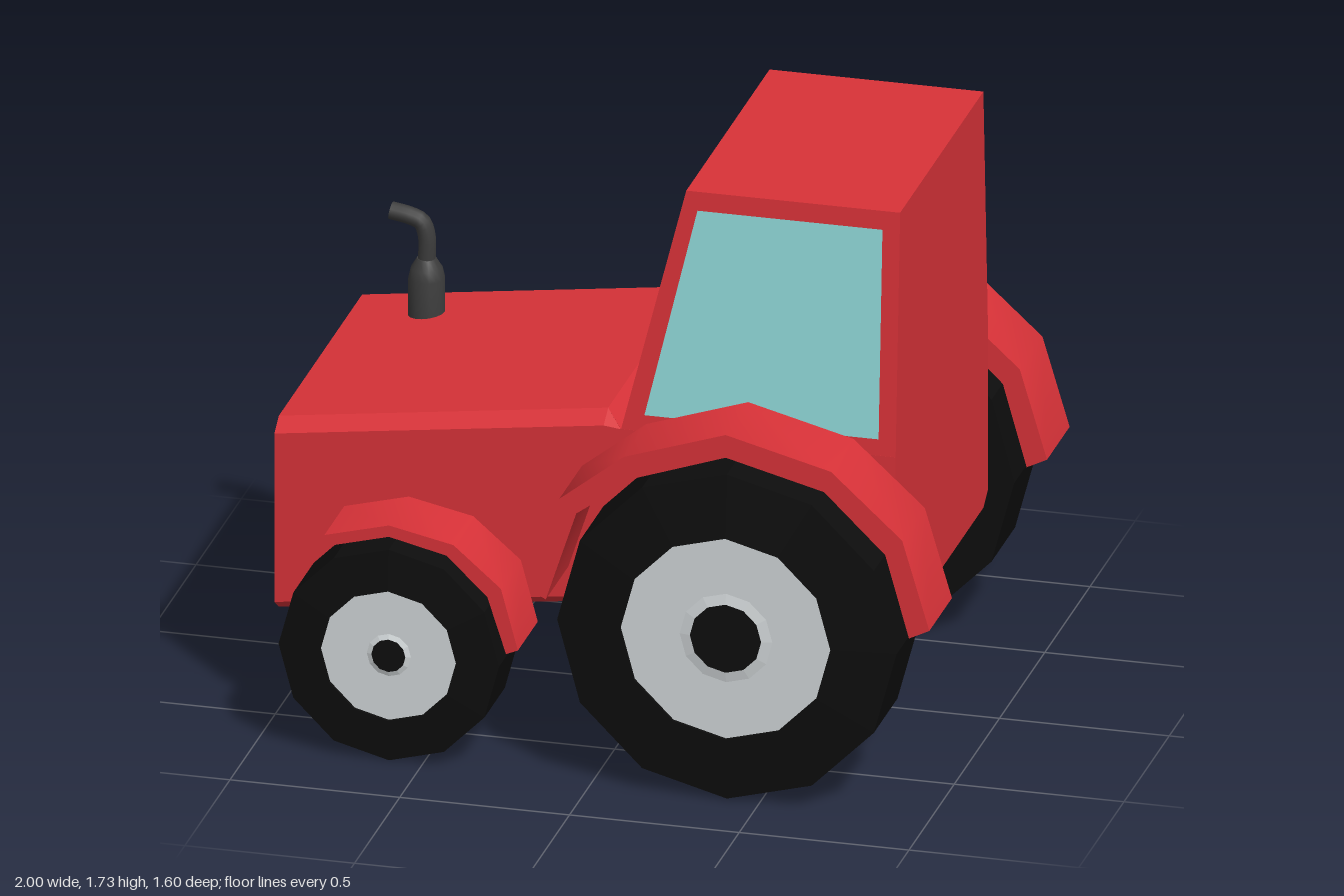
import * as THREE from 'three';
import { toCreasedNormals } from 'three/addons/utils/BufferGeometryUtils.js';

const paint = (color, extra = {}) => Object.assign(new THREE.MeshStandardMaterial({ color }), extra);
const red = paint(0xd83238);
const redFlat = paint(0xd83238, { flatShading: true });
const black = paint(0x0d0d0d, { flatShading: true });
const rimGrey = paint(0xcfd4d6, { flatShading: true });
const lampGrey = paint(0xb4b4b4);
const pipeGrey = paint(0x3c3c3c);
const glass = paint(0x8fd8d8, { side: THREE.DoubleSide });

function add(parent, name, geometry, material) {
  const mesh = new THREE.Mesh(geometry, material);
  mesh.name = name;
  parent.add(mesh);
  return mesh;
}

// Joins rings of [x, y, z] corners into a closed, flat-faced solid
function loft(rings) {
  const n = rings[0].length;
  const index = [];
  for (let r = 0; r < rings.length - 1; r++) {
    for (let i = 0; i < n; i++) {
      const a = r * n + i, b = r * n + (i + 1) % n;
      index.push(a, b, b + n, a, b + n, a + n);
    }
  }
  const last = (rings.length - 1) * n;
  for (let i = 1; i < n - 1; i++) {
    index.push(0, i + 1, i, last, last + i, last + i + 1);
  }
  const g = new THREE.BufferGeometry();
  g.setAttribute('position', new THREE.Float32BufferAttribute(rings.flat(2), 3));
  g.setIndex(index);
  const flat = g.toNonIndexed();
  flat.computeVertexNormals();
  return flat;
}

function quad(corners) {
  const g = new THREE.BufferGeometry();
  g.setAttribute('position', new THREE.Float32BufferAttribute(corners.flat(), 3));
  g.setIndex([0, 1, 2, 0, 2, 3]);
  g.computeVertexNormals();
  return g;
}

// Bevelled cross-section of the lower body
function section(x, top, bottom, topHalf = 0.46, bevel = 0.035, inset = 0) {
  const w = 0.51 - inset, t = topHalf - inset, u = 0.46 - inset;
  const hi = top - inset, lo = bottom + inset;
  return [
    [x, hi, -t], [x, hi, t], [x, hi - bevel, w], [x, lo + bevel, w],
    [x, lo, u], [x, lo, -u], [x, lo + bevel, -w], [x, hi - bevel, -w],
  ];
}

// Wheel centred on its axle, outer face towards +z
function wheel(name, radius, rimRadius, hubRadius, width, bulge) {
  const group = new THREE.Group();
  group.name = name;
  const spin = (part, profile, material) => {
    const points = profile.map(([r, y]) => new THREE.Vector2(r, y));
    add(group, part, new THREE.LatheGeometry(points, 12).rotateX(Math.PI / 2), material);
  };
  const out = width + bulge;
  spin('tyre', [[0, 0], [radius, 0], [radius, width], [rimRadius, out], [rimRadius, out - 0.02]], black);
  spin('rim', [[rimRadius, out - 0.01], [hubRadius * 1.3, out - 0.01], [hubRadius, out - 0.004]], rimGrey);
  spin('hub', [[hubRadius, out - 0.004], [0, out - 0.004]], black);
  return group;
}

// Mudguard: outer edge followed by the inner edge, pushed out sideways
function mudguard(outer, inner, depth) {
  const shape = new THREE.Shape([...outer, ...inner.slice().reverse()].map(([x, y]) => new THREE.Vector2(x, y)));
  return toCreasedNormals(new THREE.ExtrudeGeometry(shape, { depth, bevelEnabled: false }), 0.8);
}

export function createModel() {
  const model = new THREE.Group();
  model.name = 'tractor';

  // Lower body with recessed nose panel
  add(model, 'body', loft([
    section(-0.965, 0.91, 0.32, 0.46, 0.03, 0.035),
    section(-1, 0.91, 0.32, 0.46, 0.03, 0.035),
    section(-1, 0.91, 0.32),
    section(-0.03, 1.04, 0.445),
    section(0.02, 1.0, 0.45, 0.51, 0.001),
    section(0.83, 1.0, 0.45, 0.51, 0.001),
  ].map((ring, i) => {
    // lower bevel stays even along the rear
    if (i > 3) { ring[3][1] = ring[6][1] = 0.485; }
    return ring;
  })), redFlat);

  // Cab, narrowing towards the roof
  const cabRing = (y, x0, h) => [[x0, y, h], [0.83, y, h], [0.83, y, -h], [x0, y, -h]];
  add(model, 'cab', loft([cabRing(0.995, 0.02, 0.51), cabRing(1.735, 0.2, 0.46)]), redFlat);

  // Windows lying on the sloping cab walls
  const sideZ = (y) => 0.514 - 0.05 * (y - 0.995) / 0.74;
  const frontX = (y) => 0.015 + 0.18 * (y - 0.995) / 0.74;
  for (const s of [1, -1]) {
    const outline = [[0.09, 1.05], [0.78, 1.05], [0.78, 1.68], [0.235, 1.68]];
    add(model, s > 0 ? 'leftWindow' : 'rightWindow',
      quad(outline.map(([x, y]) => [x, y, s * sideZ(y)])), glass);
  }
  add(model, 'windscreen', quad(
    [[1.05, -0.43], [1.05, 0.43], [1.67, 0.39], [1.67, -0.39]].map(([y, z]) => [frontX(y), y, z])), glass);

  // Headlights
  for (const z of [-0.25, 0.25]) {
    const lamp = add(model, 'headlight', new THREE.CylinderGeometry(0.07, 0.07, 0.03, 20), lampGrey);
    lamp.rotation.z = Math.PI / 2;
    lamp.position.set(-0.975, 0.65, z);
  }

  // Exhaust: silencer and bent pipe
  const exhaust = new THREE.Group();
  exhaust.name = 'exhaust';
  exhaust.position.set(-0.77, 0, -0.31);
  model.add(exhaust);
  const silencer = [[0, 0.9], [0.053, 0.9], [0.053, 1.05], [0.046, 1.08], [0.028, 1.11], [0, 1.11]];
  add(exhaust, 'silencer', toCreasedNormals(
    new THREE.LatheGeometry(silencer.map(([r, y]) => new THREE.Vector2(r, y)), 16), 0.9), pipeGrey);
  const path = new THREE.CatmullRomCurve3([[0, 1.09], [0, 1.18], [-0.015, 1.22], [-0.05, 1.235], [-0.105, 1.245]]
    .map(([x, y]) => new THREE.Vector3(x, y, 0)));
  add(exhaust, 'pipe', new THREE.TubeGeometry(path, 16, 0.026, 12), pipeGrey);
  const mouth = add(exhaust, 'pipeMouth', new THREE.CircleGeometry(0.026, 12), pipeGrey);
  mouth.position.set(-0.105, 1.245, 0);
  mouth.rotation.y = -Math.PI / 2;

  // Wheels and mudguards on both sides
  const rearGuard = mudguard(
    [[-0.18, 0.59], [-0.09, 0.88], [0.1, 1.03], [0.4, 1.13], [0.71, 1.05], [0.92, 0.86], [1, 0.59]],
    [[-0.13, 0.565], [-0.04, 0.84], [0.14, 0.97], [0.4, 1.06], [0.69, 0.985], [0.87, 0.81], [0.94, 0.56]], 0.25);
  const frontGuard = mudguard(
    [[-0.79, 0.68], [-0.6, 0.73], [-0.41, 0.69], [-0.27, 0.57], [-0.22, 0.385]],
    [[-0.77, 0.65], [-0.6, 0.695], [-0.43, 0.655], [-0.31, 0.54], [-0.255, 0.37]], 0.22);
  for (const s of [1, -1]) {
    const side = s > 0 ? 'left' : 'right';
    const rear = wheel(side + 'RearWheel', 0.5, 0.31, 0.105, 0.26, 0.02);
    rear.position.set(0.405, 0.51, s * 0.52);
    const front = wheel(side + 'FrontWheel', 0.325, 0.2, 0.05, 0.225, 0.01);
    front.position.set(-0.6, 0.33, s * 0.52);
    for (const w of [rear, front]) {
      if (s < 0) w.rotation.y = Math.PI;
      model.add(w);
    }
    add(model, side + 'RearMudguard', rearGuard, red).position.z = s > 0 ? 0.525 : -0.775;
    add(model, side + 'FrontMudguard', frontGuard, red).position.z = s > 0 ? 0.525 : -0.745;
  }
  return model;
}
